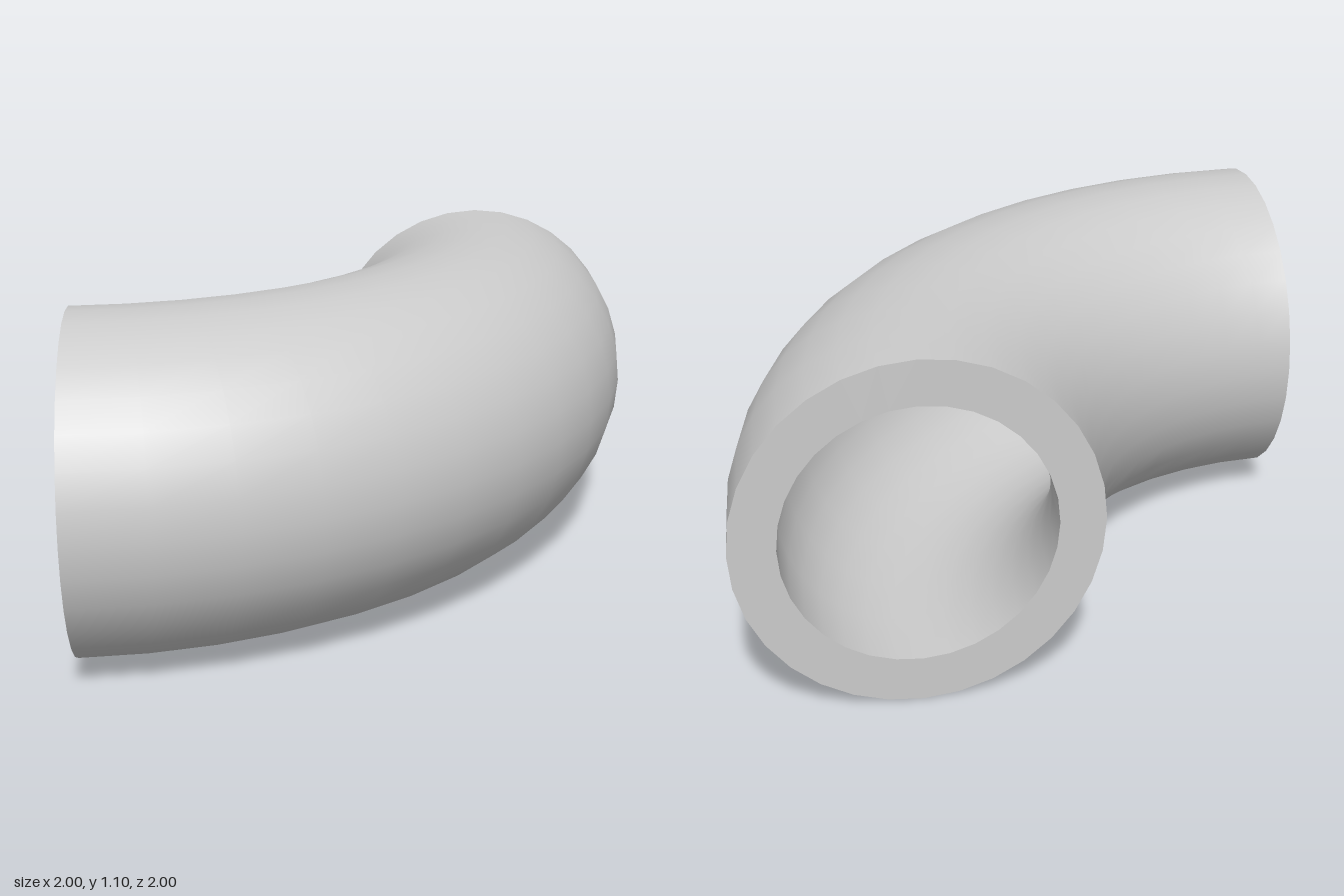
import * as THREE from 'three';

const BEND = 1.45, OUTER = 0.55, INNER = 0.41, SIDES = 32, STEPS = 12;

// Quarter torus lying flat, bending about the corner at (-1, -1)
function quarterBend(radius) {
  return new THREE.TorusGeometry(BEND, radius, SIDES, STEPS, Math.PI / 2)
    .rotateX(Math.PI / 2)
    .translate(-1, OUTER, -1);
}

// Turn a surface inside out so that it shows from within
function turnInward(geometry) {
  geometry.index.array.reverse();
  const normal = geometry.attributes.normal;
  for (let i = 0; i < normal.array.length; i++) normal.array[i] *= -1;
  return geometry;
}

export function createModel() {
  const group = new THREE.Group();
  group.name = 'pipeElbow';
  const material = new THREE.MeshStandardMaterial({ color: 0xcccccc });

  const add = (name, geometry) => {
    const mesh = new THREE.Mesh(geometry, material);
    mesh.name = name;
    group.add(mesh);
    return mesh;
  };

  // Outer skin and bore
  add('outerWall', quarterBend(OUTER));
  add('bore', turnInward(quarterBend(INNER)));

  // Flat annular end faces
  const rim = new THREE.RingGeometry(INNER, OUTER, SIDES);
  const back = add('backRim', rim);
  back.position.set(BEND - 1, OUTER, -1);
  back.rotation.y = Math.PI;
  const side = add('rightRim', rim);
  side.position.set(-1, OUTER, BEND - 1);
  side.rotation.y = -Math.PI / 2;

  return group;
}
